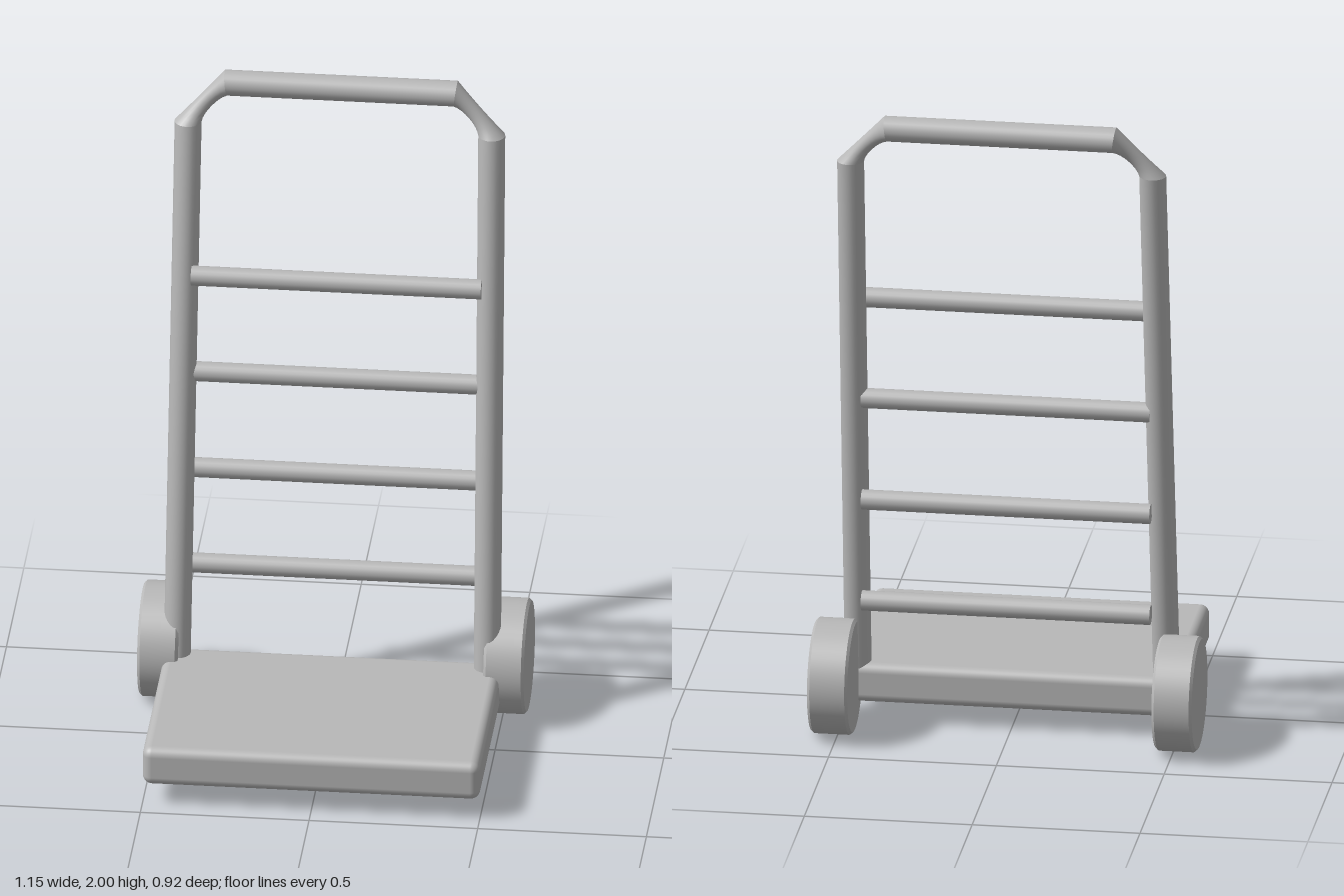
import * as THREE from 'three';
import { RoundedBoxGeometry } from 'three/addons/geometries/RoundedBoxGeometry.js';

const SIDES = 24;
const V = (x, y, z) => new THREE.Vector3(x, y, z);
const section = (c, u, v) => ({ c, u, v });
const mirror = ({ c, u, v }) => section(V(-c.x, c.y, c.z), V(-u.x, u.y, u.z), v.clone());

// skin over a row of elliptical cross-sections (centre c, half axes u and v)
function loft(sections) {
  const pos = [], index = [];
  sections.forEach(({ c, u, v }, i) => {
    for (let j = 0; j < SIDES; j++) {
      const a = (j / SIDES) * Math.PI * 2;
      const p = c.clone().addScaledVector(u, Math.cos(a)).addScaledVector(v, Math.sin(a));
      pos.push(p.x, p.y, p.z);
      if (i === 0) continue;
      const k = (j + 1) % SIDES, lo = (i - 1) * SIDES, hi = i * SIDES;
      index.push(lo + j, hi + j, lo + k, lo + k, hi + j, hi + k);
    }
  });
  const g = new THREE.BufferGeometry();
  g.setAttribute('position', new THREE.Float32BufferAttribute(pos, 3));
  g.setIndex(index);
  g.computeVertexNormals();
  return g;
}

// corner piece, pinched towards its outer side halfway along
function corner(a, b) {
  const out = [];
  for (let i = 0; i <= 8; i++) {
    const t = i / 8, pinch = 4 * t * (1 - t);
    const c = a.c.clone().lerp(b.c, t), u = a.u.clone().lerp(b.u, t), v = a.v.clone().lerp(b.v, t);
    c.addScaledVector(u, 0.2 * pinch);
    out.push(section(c, u.multiplyScalar(1 - 0.2 * pinch), v.multiplyScalar(1 - 0.42 * pinch)));
  }
  return out;
}

export function createModel() {
  const group = new THREE.Group();
  group.name = 'handTruck';
  const grey = new THREE.MeshStandardMaterial({ color: 0xb8b8b8 });
  grey.name = 'light grey';
  const add = (name, geometry, x = 0, y = 0, z = 0) => {
    const m = new THREE.Mesh(geometry, grey);
    m.name = name;
    m.position.set(x, y, z);
    group.add(m);
    return m;
  };

  // load plate
  add('loadPlate', new RoundedBoxGeometry(1, 0.122, 0.665, 4, 0.028), 0, 0.128, 0.1225);

  // tubular frame: two leaning posts, two corners and the handle bar
  const foot = section(V(0.46, 0.1, -0.157), V(0.04, 0, 0), V(0, 0, 0.04));
  const head = section(V(0.45, 1.845, -0.39), V(0.04, 0, 0), V(0, 0, 0.041));
  const barEnd = section(V(0.34, 1.962, -0.42), V(0.005, 0.038, 0), V(0, 0, 0.04));
  const bend = corner(head, barEnd);
  add('leftPost', loft([foot, head]));
  add('leftCorner', loft(bend));
  add('handleBar', loft([barEnd, mirror(barEnd)]));
  add('rightCorner', loft(bend.map(mirror).reverse()));
  add('rightPost', loft([mirror(head), mirror(foot)]));

  // rungs
  for (const y of [0.424, 0.742, 1.062, 1.38]) {
    const g = new THREE.CylinderGeometry(0.03, 0.03, 0.86, 20).rotateZ(Math.PI / 2);
    add('rung', g, 0, y, -0.294);
  }

  // wheels with softened rims
  const r = 0.172, h = 0.06, b = 0.008;
  const profile = [[0, -h], [r - b, -h], [r - b, -h], [r, b - h], [r, b - h],
    [r, h - b], [r, h - b], [r - b, h], [r - b, h], [0, h]].map(([x, y]) => new THREE.Vector2(x, y));
  for (const s of [1, -1]) {
    const g = new THREE.LatheGeometry(profile, 48).rotateZ(Math.PI / 2);
    add(s > 0 ? 'leftWheel' : 'rightWheel', g, s * 0.513, 0.175, -0.276);
  }
  return group;
}
